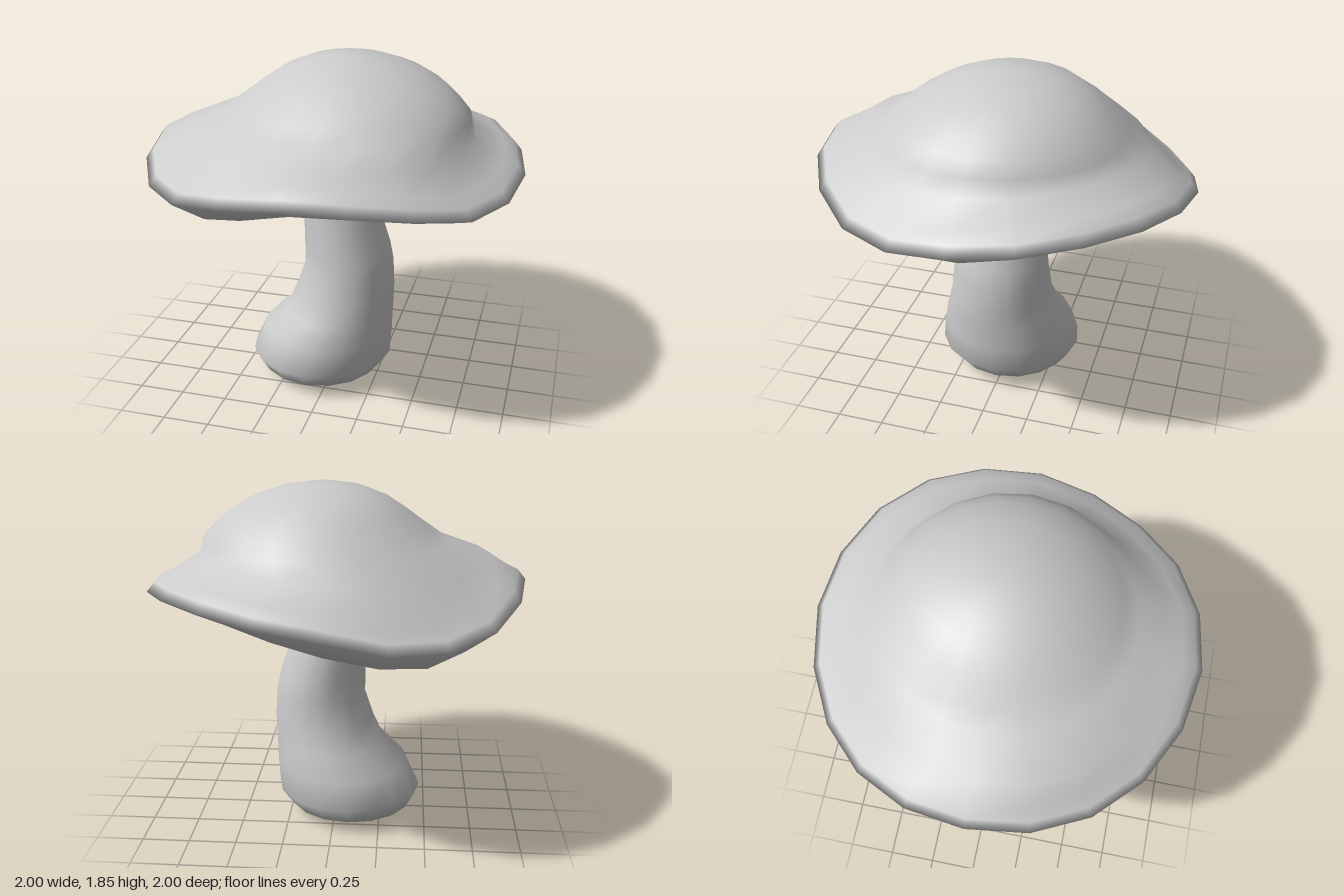
import * as THREE from 'three';
import { mergeVertices } from 'three/addons/utils/BufferGeometryUtils.js';

// Smooth skin over rings of [x, y, z] points, listed from the underside to the top
function loft(rings, name) {
  const n = rings[0].length, index = [];
  for (let i = 0; i < rings.length - 1; i++) {
    for (let j = 0; j < n; j++) {
      const k = (j + 1) % n;
      const a = i * n + j, b = i * n + k, c = a + n, d = b + n;
      index.push(a, c, b, b, c, d);
    }
  }
  let geometry = new THREE.BufferGeometry();
  geometry.setAttribute('position', new THREE.Float32BufferAttribute(rings.flat(2), 3));
  geometry.setIndex(index);
  geometry = mergeVertices(geometry, 1e-4);
  geometry.computeVertexNormals();
  const material = new THREE.MeshStandardMaterial({ color: 0xcccccc, side: THREE.DoubleSide });
  const mesh = new THREE.Mesh(geometry, material);
  mesh.name = name;
  return mesh;
}

// Ring of n points; height(j) gives y
function ring(n, cx, cz, rx, rz, height) {
  return Array.from({ length: n }, (_, j) => {
    const t = (j / n) * Math.PI * 2;
    return [cx + rx * Math.cos(t), height(j), cz + rz * Math.sin(t)];
  });
}

function createCap() {
  const n = 20;
  // Wavy heights round the cap, starting at +x and turning towards +z
  const rim = [1.29, 1.25, 1.25, 1.31, 1.355, 1.37, 1.33, 1.275, 1.265, 1.31,
    1.35, 1.30, 1.22, 1.18, 1.20, 1.27, 1.31, 1.34, 1.345, 1.32];
  const lip = [1.17, 1.145, 1.185, 1.245, 1.285, 1.285, 1.22, 1.155, 1.15, 1.165,
    1.19, 1.16, 1.09, 1.06, 1.09, 1.15, 1.21, 1.255, 1.265, 1.22];
  const rings = [];
  // Underside, from the middle out to the lip
  for (const f of [0, 0.25, 0.6, 1]) {
    rings.push(ring(n, 0, 0, 0.825 * f, 0.825 * f, j => 1.28 + (lip[j] - 1.28) * f));
  }
  // Rim and its rounded upper edge
  for (const [r, up] of [[1, 0], [0.96, 0.05], [0.89, 0.085]]) {
    rings.push(ring(n, 0, 0, r, r, j => rim[j] + up));
  }
  // Brim, its wave fading towards the dome
  rings.push(ring(n, -0.03, 0.03, 0.77, 0.77, j => 1.465 + 0.4 * (rim[j] - 1.29)));
  // Dome, set off centre: centre x, centre z, radius, height
  const dome = [
    [0.06, 0, 0.65, 1.555], [0.08, -0.01, 0.57, 1.625], [0.09, -0.02, 0.48, 1.7],
    [0.08, -0.03, 0.36, 1.775], [0.07, -0.03, 0.22, 1.828], [0.07, -0.02, 0.09, 1.85], [0.07, -0.02, 0, 1.85],
  ];
  for (const [cx, cz, r, y] of dome) rings.push(ring(n, cx, cz, r, r, () => y));
  return loft(rings, 'cap');
}

function createStem() {
  // Height, left and right edge in x, back and front edge in z
  const sections = [
    [0.005, -0.02, -0.02, 0.06, 0.06],
    [0.022, -0.18, 0.13, -0.16, 0.18],
    [0.06, -0.42, 0.25, -0.335, 0.335],
    [0.15, -0.47, 0.32, -0.395, 0.40],
    [0.30, -0.40, 0.33, -0.365, 0.375],
    [0.43, -0.265, 0.335, -0.315, 0.34],
    [0.55, -0.21, 0.34, -0.265, 0.30],
    [0.70, -0.16, 0.33, -0.25, 0.28],
    [0.80, -0.16, 0.31, -0.24, 0.265],
    [1.00, -0.165, 0.245, -0.215, 0.235],
    [1.22, -0.18, 0.18, -0.185, 0.205],
    [1.31, -0.17, 0.15, -0.175, 0.19],
  ];
  const rings = sections.map(([y, x0, x1, z0, z1]) =>
    ring(16, (x0 + x1) / 2, (z0 + z1) / 2, (x1 - x0) / 2, (z1 - z0) / 2, () => y));
  return loft(rings, 'stem');
}

export function createModel() {
  const mushroom = new THREE.Group();
  mushroom.name = 'mushroom';
  mushroom.add(createCap(), createStem());
  return mushroom;
}
